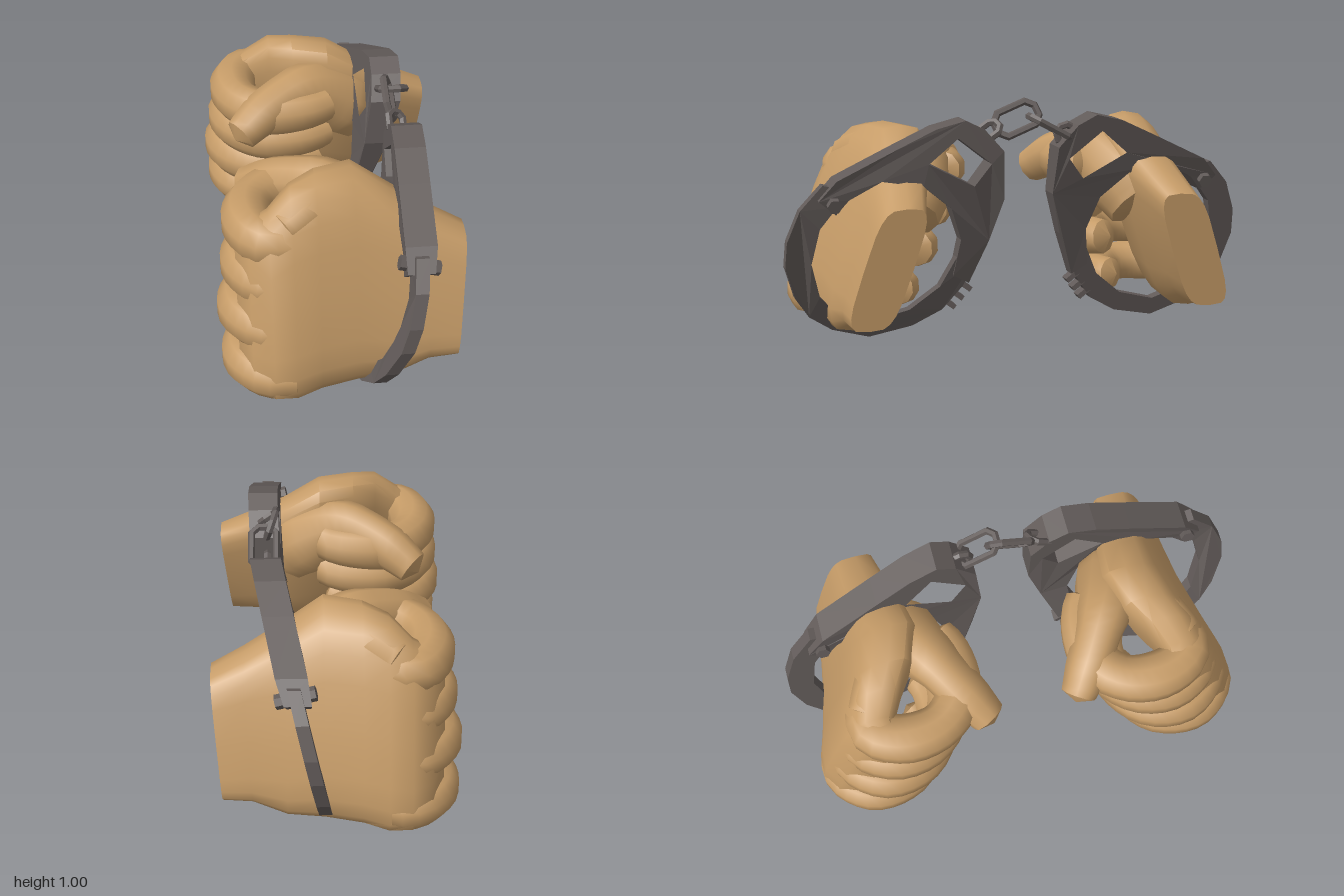
import * as THREE from 'three';
import { mergeVertices, toCreasedNormals } from 'three/addons/utils/BufferGeometryUtils.js';

const skin = new THREE.MeshStandardMaterial({ color: 0xc69c68 });
skin.name = 'skin';
const metal = new THREE.MeshStandardMaterial({ color: 0x625b59 });
metal.name = 'darkMetal';

function add(group, name, geo, mat) {
  const m = new THREE.Mesh(geo, mat);
  m.name = name;
  group.add(m);
  return m;
}

// Linear lookup in a list of [key, value] pairs
function lookup(table, k) {
  for (let i = 1; i < table.length; i++) {
    const [a, va] = table[i - 1], [b, vb] = table[i];
    if (k <= b) return va + (vb - va) * Math.max(0, (k - a) / (b - a));
  }
  return table[table.length - 1][1];
}

function flat(geo) {
  const g = geo.index ? geo.toNonIndexed() : geo;
  g.computeVertexNormals();
  return g;
}

// Tube whose radius follows a list spread evenly along its path, closed at both ends
function taperedTube(points, radii) {
  const curve = new THREE.CatmullRomCurve3(points.map((p) => new THREE.Vector3(...p)));
  const n = 22, sides = 10;
  const geo = new THREE.TubeGeometry(curve, n, 1, sides, false);
  const pos = geo.attributes.position, v = new THREE.Vector3();
  const table = radii.map((r, i) => [i / (radii.length - 1), r]);
  for (let i = 0; i <= n; i++) {
    const c = curve.getPointAt(i / n);
    const r = i === 0 || i === n ? 0.0005 : lookup(table, i / n);
    for (let j = 0; j <= sides; j++) {
      const k = i * (sides + 1) + j;
      v.fromBufferAttribute(pos, k).sub(c).multiplyScalar(r).add(c);
      pos.setXYZ(k, v.x, v.y, v.z);
    }
  }
  geo.deleteAttribute('uv');
  geo.deleteAttribute('normal');
  return toCreasedNormals(mergeVertices(geo, 1e-5), 0.9);
}

// Wrist to knuckles: x, centre y, half height, centre z, half depth, corner power, end slant
const palmSections = [
  [0.475, 0.37, 0.245, 0.61, 0.1, 0.5, 0.08],
  [0.35, 0.4, 0.28, 0.61, 0.115, 0.52, 0.05],
  [0.2, 0.42, 0.355, 0.605, 0.14, 0.6, 0],
  [0.05, 0.47, 0.41, 0.62, 0.16, 0.68, 0],
  [-0.1, 0.47, 0.41, 0.665, 0.15, 0.68, 0],
  [-0.2, 0.455, 0.405, 0.71, 0.13, 0.68, 0],
  [-0.29, 0.42, 0.36, 0.73, 0.11, 0.68, 0],
  [-0.37, 0.41, 0.32, 0.71, 0.08, 0.68, 0],
  [-0.42, 0.42, 0.26, 0.64, 0.05, 0.8, 0],
];

function palm(toZ, s) {
  const N = 20, pos = [], index = [];
  const ring = ([x, yc, hy, zc, hz, power, slant], k) => {
    const squash = (t) => Math.sign(t) * Math.pow(Math.abs(t), power);
    for (let j = 0; j < N; j++) {
      const a = (j / N) * Math.PI * 2;
      const dy = k * hy * squash(Math.cos(a));
      pos.push(x + slant * dy, yc + dy, toZ(zc + k * hz * squash(Math.sin(a)), yc + dy));
    }
  };
  ring(palmSections[0], 0.001);
  palmSections.forEach((p) => ring(p, 1));
  ring(palmSections[palmSections.length - 1], 0.001);
  for (let i = 0; i < palmSections.length + 1; i++) {
    for (let j = 0; j < N; j++) {
      const a = i * N + j, b = i * N + ((j + 1) % N), c = a + N, d = b + N;
      if (s > 0) index.push(a, c, b, b, c, d);
      else index.push(a, b, c, b, d, c);
    }
  }
  const geo = new THREE.BufferGeometry();
  geo.setAttribute('position', new THREE.Float32BufferAttribute(pos, 3));
  geo.setIndex(index);
  return toCreasedNormals(geo, 0.9);
}

function hand(s) {
  const g = new THREE.Group();
  g.name = s > 0 ? 'frontHand' : 'backHand';
  const place = (z) => (s > 0 ? z : -(z + 0.04));
  // The fist leans inward towards its top
  const lean = (z, y) => place(z - 0.32 * (y - 0.42));
  add(g, 'palm', palm(lean, s), skin);
  // Curled fingers: name, height, radius, x shift, x of the tip
  const fingers = [
    ['indexFinger', 0.665, 0.098, 0.025, 0.06],
    ['middleFinger', 0.5, 0.094, 0.01, 0.06],
    ['ringFinger', 0.325, 0.096, -0.008, 0.02],
    ['littleFinger', 0.135, 0.09, -0.005, -0.06],
  ];
  for (const [name, y, r, dx, tip] of fingers) {
    add(g, name, taperedTube([
      [-0.18, y, 0.73], [-0.3, y, 0.73], [-0.39 + dx, y, 0.61], [-0.37 + dx, y, 0.45],
      [-0.23, y, 0.345], [tip - 0.1, y + 0.01, 0.345], [tip, y + 0.02, 0.4],
    ].map(([px, py, pz]) => [px, py, lean(pz, py)]),
    [r * 0.9, r, r * 1.05, r * 0.97, r, r * 0.9, r * 0.75]), skin);
  }
  const tube = (pts, r) => taperedTube(pts.map(([x, y, z]) => [x, y, place(z)]), r);
  // Thumb with its fleshy base
  add(g, 'thumb', tube([
    [0.2, 0.5, 0.5], [0.08, 0.63, 0.43], [-0.07, 0.72, 0.35], [-0.22, 0.69, 0.26], [-0.375, 0.6, 0.155],
  ], [0.13, 0.16, 0.13, 0.1, 0.095, 0.07]), skin);
  // Web of skin between thumb and index finger
  add(g, 'thumbWeb', tube([
    [0.15, 0.65, 0.5], [0, 0.74, 0.49], [-0.12, 0.76, 0.58], [-0.25, 0.71, 0.66],
  ], [0.09, 0.11, 0.09, 0.08]), skin);
  return g;
}

// Sideways drift of the front cuff with height, and thickness of a cuff body with height
const drift = [[0, 0.06], [0.1, 0.115], [0.3, 0.2], [0.5, 0.255], [0.65, 0.28], [0.95, 0.295]];
const bodyDepth = [[0.4, 0.065], [0.6, 0.1], [0.7, 0.125]];

const bodyOutline = [
  [0.87, 0.63], [0.8, 0.71], [0.55, 0.83], [0.4, 0.9], [0.28, 0.93], [0.2, 0.89], [0.12, 0.8],
  [0.11, 0.6], [0.16, 0.42], [0.23, 0.23], [0.3, 0.27], [0.28, 0.43], [0.33, 0.57], [0.45, 0.67],
  [0.62, 0.7], [0.75, 0.63], [0.8, 0.57],
];
const bodyHole = [[0.43, 0.76], [0.31, 0.86], [0.17, 0.75], [0.24, 0.66]];
const armOutline = [
  [0.74, 0.66], [0.85, 0.69], [0.94, 0.59], [0.99, 0.46], [0.995, 0.35], [0.95, 0.21], [0.89, 0.12],
  [0.79, 0.05], [0.63, 0], [0.45, 0.04], [0.33, 0.11], [0.25, 0.22], [0.22, 0.32], [0.29, 0.35],
  [0.35, 0.22], [0.47, 0.12], [0.63, 0.075], [0.77, 0.12], [0.85, 0.21], [0.89, 0.36], [0.86, 0.51], [0.79, 0.6],
];

function cuff(s) {
  const g = new THREE.Group();
  g.name = s > 0 ? 'frontCuff' : 'backCuff';
  const offset = (y, z) => (s > 0 ? lookup(drift, y) : 0.12 + 0.2 * y - 0.106 * Math.abs(z));
  // Flat plate cut to an outline, then bent sideways
  const plate = (outline, hole, depth) => {
    const pts = (list) => list.map(([u, v]) => new THREE.Vector2(s * u, v));
    const shape = new THREE.Shape(pts(outline));
    if (hole) shape.holes.push(new THREE.Path(pts(hole)));
    const geo = new THREE.ExtrudeGeometry(shape, { depth: 1, bevelEnabled: false });
    geo.translate(0, 0, -0.5).rotateY(-Math.PI / 2);
    const p = geo.attributes.position;
    for (let i = 0; i < p.count; i++) {
      const y = p.getY(i);
      p.setX(i, p.getX(i) * lookup(depth, y) + offset(y, p.getZ(i)));
    }
    return flat(geo);
  };
  add(g, 'cuffBody', plate(bodyOutline, bodyHole, bodyDepth), metal);
  add(g, 'swingArm', plate(armOutline, null, [[0, 0.052], [1, 0.052]]), metal);
  // Hinge bolt with two hexagonal heads
  const bolt = (r, len, x) => flat(new THREE.CylinderGeometry(r, r, len, 6).rotateZ(Math.PI / 2).translate(x, 0, 0));
  const hinge = new THREE.Group();
  hinge.name = 'hinge';
  add(hinge, 'hingePin', bolt(0.02, 0.15, 0), metal);
  for (const e of [-1, 1]) add(hinge, 'boltHead', bolt(0.03, 0.03, e * 0.066), metal);
  hinge.position.set(offset(0.63, 0.8), 0.63, s * 0.81);
  hinge.rotation.z = -0.25;
  g.add(hinge);
  // Ratchet teeth on the arm's free end
  for (const [z, y] of [[0.24, 0.215], [0.27, 0.175], [0.3, 0.135]]) {
    const t = add(g, 'ratchetTooth', new THREE.BoxGeometry(0.05, 0.022, 0.06), metal);
    t.position.set(offset(y, z), y, s * z);
    t.rotation.x = s * -0.65;
  }
  return g;
}

// Chain link: ring stretched lengthwise, twisted about its length, then pitched
function link(radius, stretch, twist, slope, x, y, z) {
  const geo = new THREE.TorusGeometry(radius, 0.016, 6, 8).rotateZ(Math.PI / 8);
  const p = geo.attributes.position;
  for (let i = 0; i < p.count; i++) p.setX(i, p.getX(i) + Math.sign(p.getX(i)) * stretch);
  geo.rotateX(twist).rotateY(-Math.PI / 2).rotateX(-slope).translate(x, y, z);
  return flat(geo);
}

export function createModel() {
  const model = new THREE.Group();
  model.name = 'cuffedHands';
  for (const s of [1, -1]) model.add(hand(s), cuff(s));
  const chain = new THREE.Group();
  chain.name = 'chain';
  const links = [
    [0.04, 0.014, 1.0, -0.6, 0.27, 0.87, 0.165],
    [0.057, 0.04, 0.35, -0.38, 0.255, 0.915, 0.04],
    [0.055, 0.045, Math.PI / 2, 0.5, 0.285, 0.88, -0.095],
    [0.04, 0.014, 0, 0.5, 0.27, 0.84, -0.18],
  ];
  for (const l of links) add(chain, 'chainLink', link(...l), metal);
  model.add(chain);
  return model;
}
